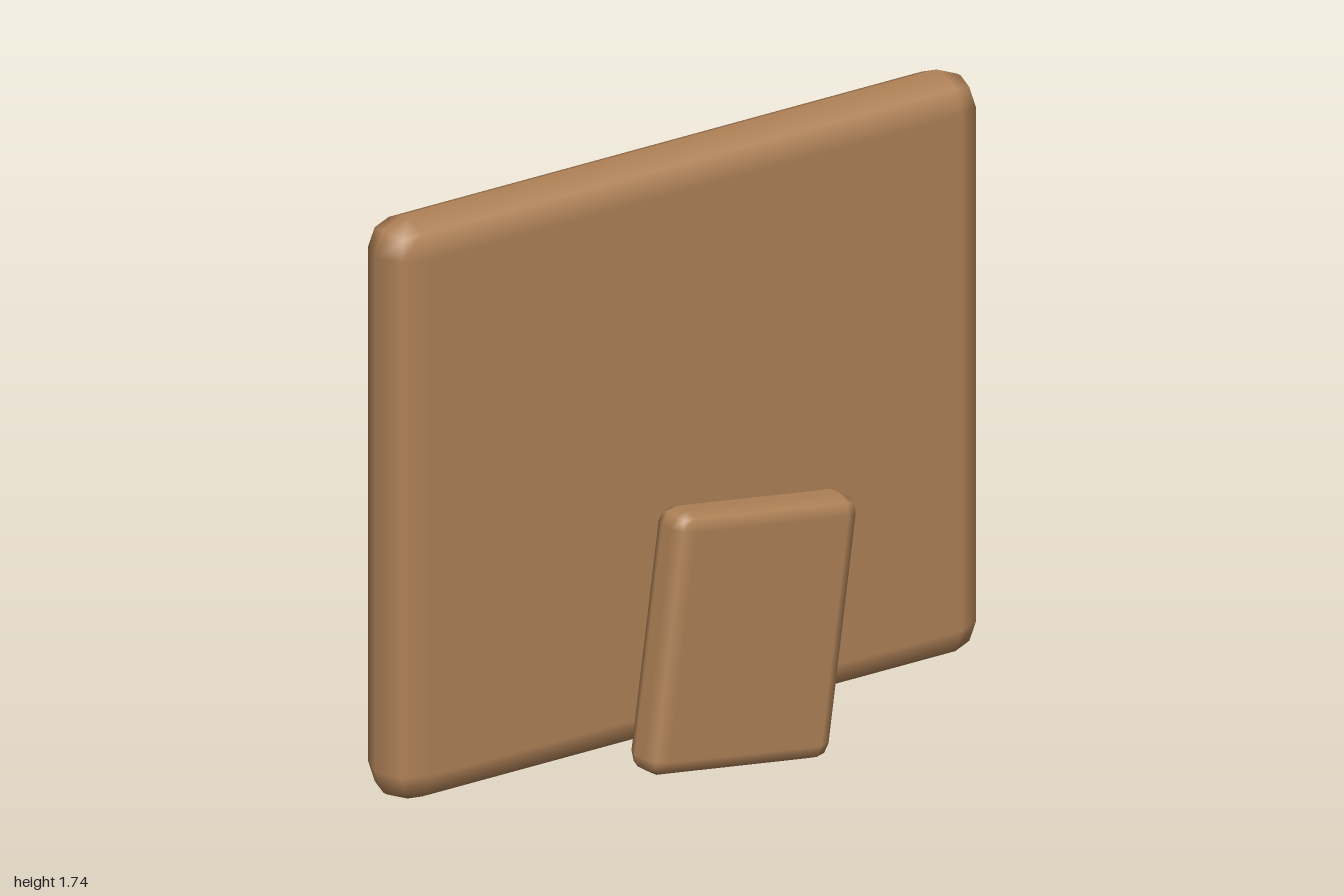
import * as THREE from 'three';
import { RoundedBoxGeometry } from 'three/addons/geometries/RoundedBoxGeometry.js';

const WOOD = 0xb08258, CREAM = 0xe6dec8, SKY = 0x7aa8b8, GREEN = 0x5f8046, GOLD = 0xdcb868;

function part(name, geometry, color, x, y, z) {
  const mesh = new THREE.Mesh(geometry, new THREE.MeshStandardMaterial({ color }));
  mesh.name = name;
  mesh.position.set(x, y, z);
  return mesh;
}

// Slab with a two-step rounded edge, given by its y and z extents
function slab(name, color, width, [y0, y1], [z0, z1], radius) {
  const geometry = new RoundedBoxGeometry(width, y1 - y0, z1 - z0, 1, radius);
  return part(name, geometry, color, 0, (y0 + y1) / 2, (z0 + z1) / 2);
}

export function createModel() {
  const model = new THREE.Group();
  model.name = 'pictureFrame';

  // Layers of the picture, stacked towards the back
  model.add(slab('frame', WOOD, 2, [0.04, 1.75], [-0.187, 0.026], 0.098));
  model.add(slab('mat', CREAM, 1.64, [0.245, 1.59], [-0.227, -0.167], 0.022));
  model.add(slab('sky', SKY, 1.47, [0.49, 1.49], [-0.27, -0.21], 0.022));

  // Hill silhouette
  const outline = [[0.735, 0.515], [0.735, 0.705], [0.39, 1.067], [-0.225, 1.085], [-0.537, 0.868], [-0.735, 0.515]];
  const hillShape = new THREE.Shape(outline.map(([x, y]) => new THREE.Vector2(x, y)));
  const hillGeometry = new THREE.ExtrudeGeometry(hillShape, { depth: 0.03, bevelEnabled: false });
  model.add(part('hill', hillGeometry, GREEN, 0, 0, -0.304));

  // Sun: flattened low-poly ball
  const sun = part('sun', new THREE.SphereGeometry(1, 8, 5), GOLD, 0.425, 1.31, -0.293);
  sun.scale.set(0.11, 0.115, 0.028);
  model.add(sun);

  // Tilted support block
  const stand = slab('stand', WOOD, 0.62, [0.04, 0.80], [0.179, 0.32], 0.05);
  stand.rotation.z = -0.14;
  model.add(stand);

  return model;
}
